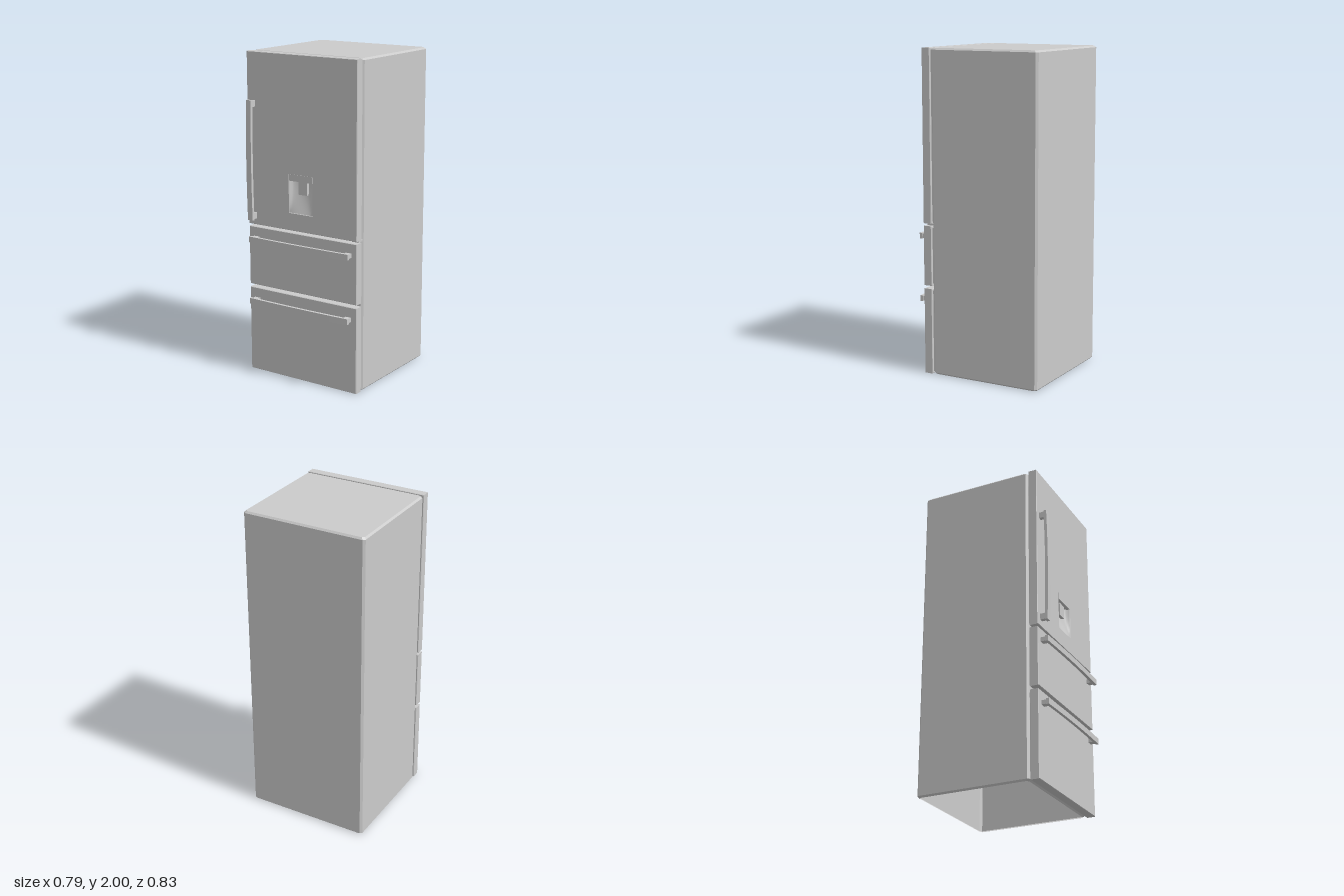
import * as THREE from 'three';

const mat = new THREE.MeshStandardMaterial({ color: 0xcccccc });
const flat = new THREE.MeshStandardMaterial({ color: 0xcccccc, flatShading: true, side: THREE.DoubleSide });

const HALF_W = 0.393, DOOR_BACK = 0.305, DOOR_FRONT = 0.36;

function add(parent, name, geometry, material = mat) {
  const mesh = new THREE.Mesh(geometry, material);
  mesh.name = name;
  parent.add(mesh);
  return mesh;
}

// Box given by its minimum and maximum corners
function box(parent, name, [x0, y0, z0], [x1, y1, z1]) {
  const g = new THREE.BoxGeometry(x1 - x0, y1 - y0, z1 - z0);
  g.translate((x0 + x1) / 2, (y0 + y1) / 2, (z0 + z1) / 2);
  return add(parent, name, g);
}

function rectPoints(x0, x1, y0, y1) {
  return [[x0, y0], [x1, y0], [x1, y1], [x0, y1]].map(([x, y]) => new THREE.Vector2(x, y));
}

// Cabinet shell: chamfered rectangular rings stacked upward, closed on top, open below
function cabinetGeometry() {
  const z0 = -0.416, z1 = 0.298, c = 0.013;
  const ring = (y, inset) => {
    const x = HALF_W - inset, b = z0 + inset, f = z1 - inset;
    return [[x, f - c], [x, b + c], [x - c, b], [c - x, b], [-x, b + c], [-x, f - c], [c - x, f], [x - c, f]]
      .map(([px, pz]) => [px, y, pz]);
  };
  const rings = [ring(0.004, 0.01), ring(0.014, 0), ring(1.989, 0), ring(2, 0.01)];
  const positions = rings.flat(2), index = [];
  for (let r = 0; r < rings.length - 1; r++) {
    for (let i = 0; i < 8; i++) {
      const a = r * 8 + i, b = r * 8 + (i + 1) % 8;
      index.push(a, b, b + 8, a, b + 8, a + 8);
    }
  }
  const top = (rings.length - 1) * 8;
  for (let i = 1; i < 7; i++) index.push(top, top + i, top + i + 1);
  const g = new THREE.BufferGeometry();
  g.setAttribute('position', new THREE.Float32BufferAttribute(positions, 3));
  g.setIndex(index);
  g.computeVertexNormals();
  return g;
}

// Door or drawer front with a fine edge bevel and an optional rectangular opening
function frontPanel(parent, name, y0, y1, opening) {
  const bevel = 0.003;
  const shape = new THREE.Shape(rectPoints(-HALF_W, HALF_W, y0, y1));
  if (opening) shape.holes.push(new THREE.Path(rectPoints(...opening).reverse()));
  const g = new THREE.ExtrudeGeometry(shape, {
    depth: DOOR_FRONT - DOOR_BACK - 2 * bevel,
    bevelSize: bevel, bevelThickness: bevel, bevelOffset: -bevel, bevelSegments: 1,
  });
  g.translate(0, 0, DOOR_BACK + bevel);
  add(parent, name, g);
  // Narrower seal bridging the gap to the cabinet
  box(parent, name + 'Seal', [-0.378, y0 + 0.012, 0.292], [0.378, y1 - 0.012, DOOR_BACK + 0.001]);
}

// Gently bowed bar on two posts, built along x and facing +z
function handle(name, length) {
  const group = new THREE.Group();
  group.name = name;
  const bar = new THREE.BoxGeometry(length, 0.036, 0.018, 16, 1, 1);
  const p = bar.attributes.position;
  for (let i = 0; i < p.count; i++) {
    const t = p.getX(i) / (length / 2);
    p.setZ(i, p.getZ(i) + 0.4 + 0.007 * (1 - t * t));
  }
  bar.computeVertexNormals();
  add(group, 'bar', bar);
  for (const side of [-1, 1]) {
    const post = add(group, 'post', new THREE.BoxGeometry(0.038, 0.026, 0.042));
    post.position.set(side * (length / 2 - 0.024), 0, 0.377);
  }
  return group;
}

// Scooped dispenser niche: deep under its top, running out to nothing at the sides and base
function nicheGeometry(x0, x1, y0, y1) {
  const w = x1 - x0, h = y1 - y0;
  const g = new THREE.PlaneGeometry(w, h, 20, 16);
  const p = g.attributes.position;
  for (let i = 0; i < p.count; i++) {
    const u = 2 * p.getX(i) / w, v = p.getY(i) / h + 0.5;
    const across = Math.sqrt(Math.max(0, 1 - u * u));
    p.setZ(i, -0.042 * across * Math.sin(Math.PI / 2 * Math.min(1, v * 1.3)));
  }
  g.translate((x0 + x1) / 2, (y0 + y1) / 2, DOOR_FRONT - 0.003);
  g.computeVertexNormals();
  return g;
}

export function createModel() {
  const model = new THREE.Group();
  model.name = 'refrigerator';

  add(model, 'cabinet', cabinetGeometry(), flat);

  // Upper door and two drawers
  const opening = [-0.088, 0.08, 1.055, 1.288];
  frontPanel(model, 'upperDoor', 0.945, 2, opening);
  frontPanel(model, 'middleDrawer', 0.56, 0.93);
  frontPanel(model, 'lowerDrawer', 0.004, 0.54);

  // Water dispenser
  const dispenser = new THREE.Group();
  dispenser.name = 'dispenser';
  model.add(dispenser);
  add(dispenser, 'niche', nicheGeometry(...opening));
  box(dispenser, 'controlPanel', [-0.088, 1.25, 0.312], [0.08, 1.29, 0.361]);
  box(dispenser, 'paddle', [-0.033, 1.168, 0.312], [0.029, 1.252, 0.342]);

  // Hinge under the upper door, on the side away from its handle
  box(model, 'hinge', [0.345, 0.935, 0.29], [0.388, 0.947, 0.335]);

  // Handles
  const doorHandle = handle('doorHandle', 0.735);
  doorHandle.rotation.z = Math.PI / 2;
  doorHandle.position.set(-0.346, 1.347, 0);
  model.add(doorHandle);
  for (const [name, y] of [['middleDrawerHandle', 0.858], ['lowerDrawerHandle', 0.465]]) {
    const h = handle(name, 0.722);
    h.position.y = y;
    model.add(h);
  }

  return model;
}
